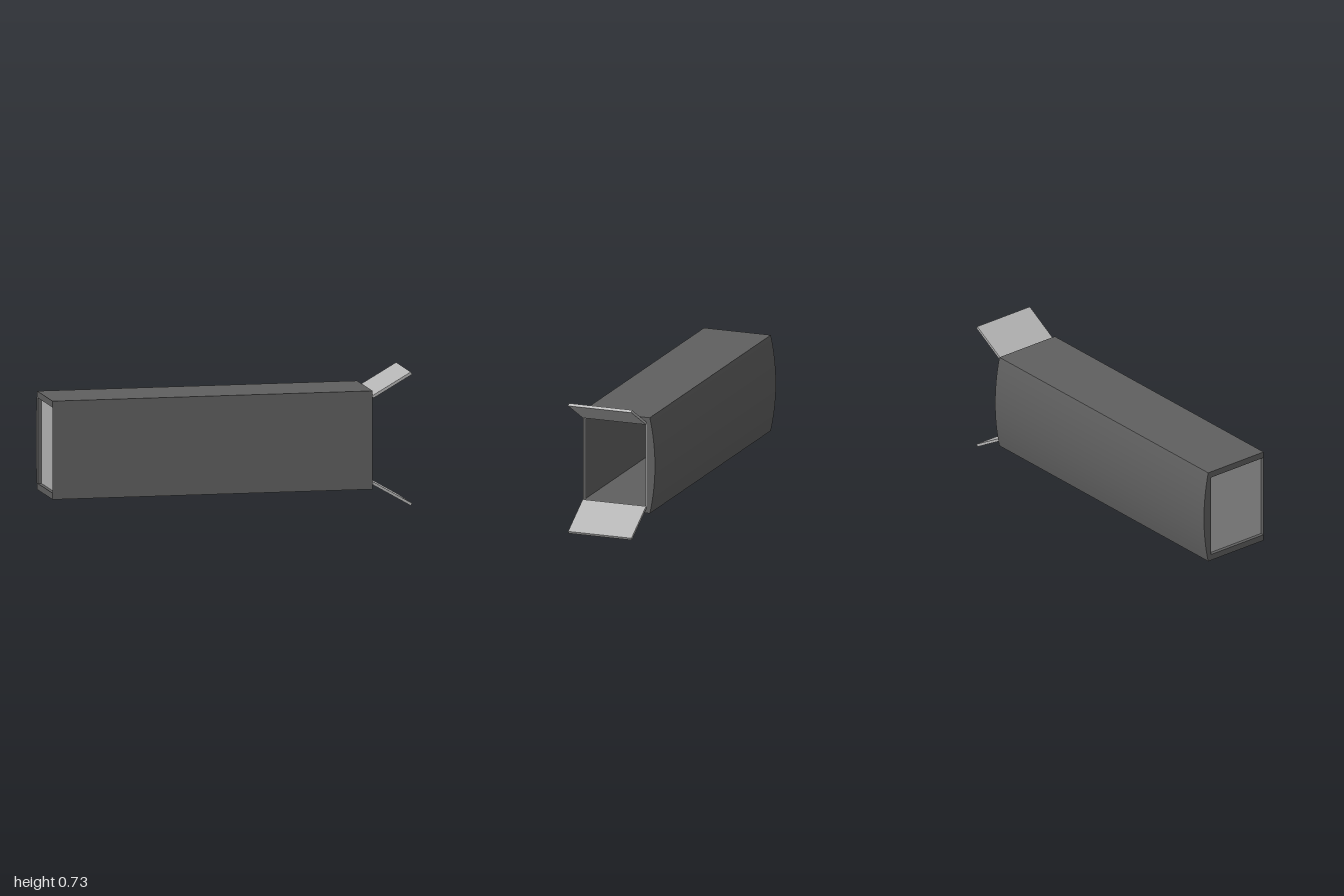
import * as THREE from 'three';

export function createModel() {
  const model = new THREE.Group();
  const dark = new THREE.MeshStandardMaterial({ color: 0x606060 });
  dark.name = 'dark grey';
  const light = new THREE.MeshStandardMaterial({ color: 0xb4b4b4 });
  light.name = 'light grey';

  const left = -1, right = 0.78;           // ends of the casing
  const bottom = 0.1, top = 0.64, mid = 0.37;
  const wall = 0.035, front = 0.21, back = -0.16, skin = 0.002;

  function add(name, geometry, material) {
    const mesh = new THREE.Mesh(geometry, material);
    mesh.name = name;
    model.add(mesh);
    return mesh;
  }
  function box(name, x0, x1, y0, y1, z0, z1, material) {
    const g = new THREE.BoxGeometry(x1 - x0, y1 - y0, z1 - z0);
    g.translate((x0 + x1) / 2, (y0 + y1) / 2, (z0 + z1) / 2);
    return add(name, g, material);
  }

  // Hollow casing: profile in (-z, y), with a bulged back, extruded along x
  const radius = (0.27 ** 2 + 0.03 ** 2) / 0.06;
  const half = Math.asin(0.27 / radius);
  const profile = new THREE.Shape();
  profile.moveTo(-front, bottom);
  profile.lineTo(0.18, bottom);
  profile.absarc(0.21 - radius, mid, radius, -half, half, false);
  profile.lineTo(-front, top);
  profile.closePath();
  const opening = new THREE.Path();
  opening.moveTo(-front + skin, bottom + wall);
  opening.lineTo(-front + skin, top - wall);
  opening.lineTo(-back, top - wall);
  opening.lineTo(-back, bottom + wall);
  opening.closePath();
  profile.holes.push(opening);
  const casing = new THREE.ExtrudeGeometry(profile, {
    depth: right - left, bevelEnabled: false, curveSegments: 32,
  });
  casing.rotateY(Math.PI / 2);
  casing.translate(left, 0, 0);
  add('casing', casing, dark);

  // Recessed panel closing the far end
  box('endPanel', left + 0.02, left + 0.035, bottom + wall, top - wall, back, front - skin, light);

  // Thin collar lining the open end
  const c0 = right - 0.025, c1 = right + 0.001, t = 0.004;
  box('collarBack', c0, c1, bottom + wall, top - wall, back, back + t, light);
  box('collarFront', c0, c1, bottom + wall, top - wall, front - skin - t, front - skin, light);

  // Pair of flaps splayed open at 30 degrees, mirrored about the mid height
  for (const side of [1, -1]) {
    const points = [[0.785, 0.6], [1, 0.724], [0.9925, 0.737], [0.7775, 0.613]]
      .map(([x, y]) => new THREE.Vector2(x, mid + side * (y - mid)));
    const flap = new THREE.ExtrudeGeometry(new THREE.Shape(points), {
      depth: front - back, bevelEnabled: false,
    });
    flap.translate(0, 0, back);
    add(side > 0 ? 'upperFlap' : 'lowerFlap', flap, light);
  }

  return model;
}
